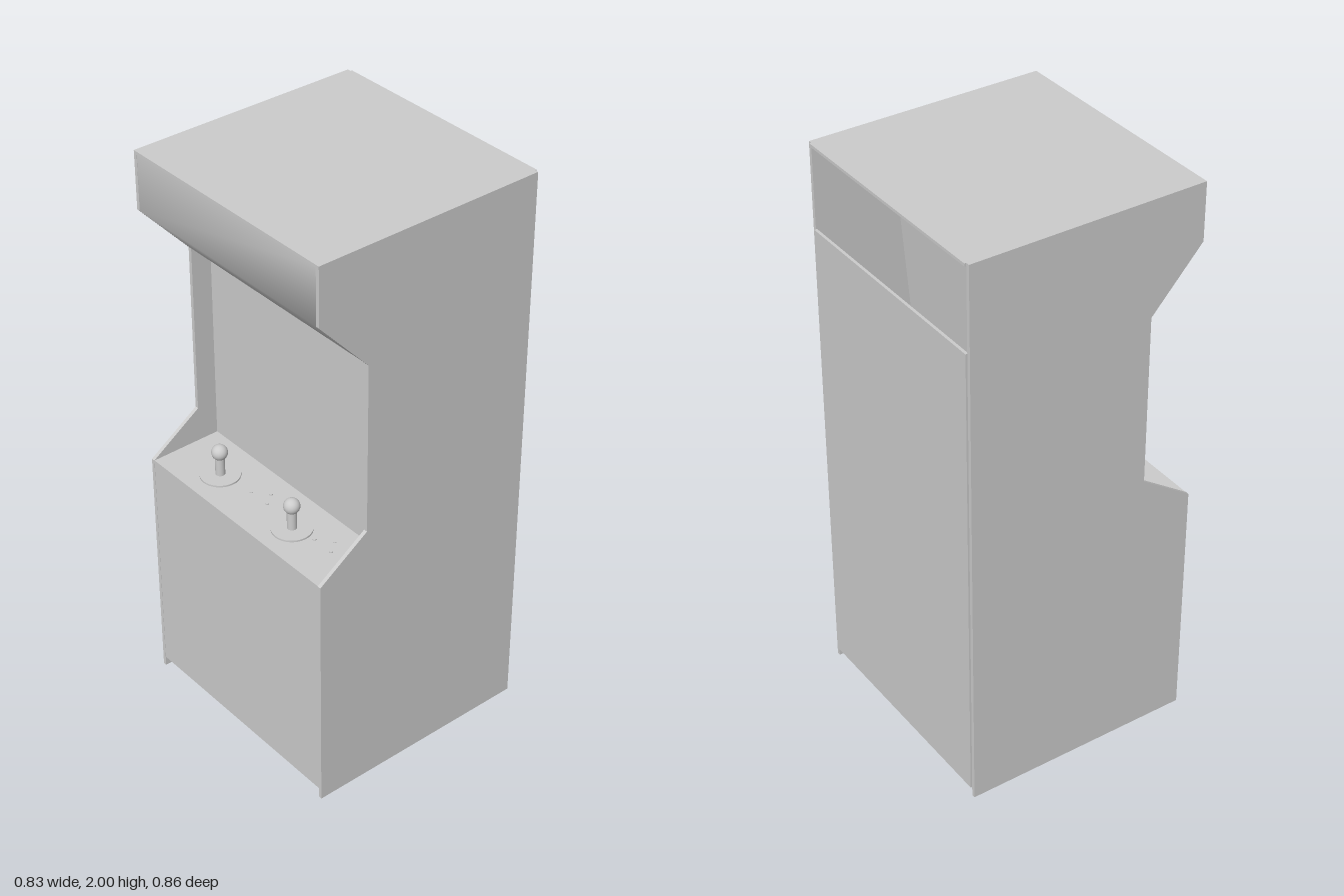
import * as THREE from 'three';

export function createModel() {
  const group = new THREE.Group();
  const mat = new THREE.MeshStandardMaterial({ color: 0xcccccc, side: THREE.DoubleSide });
  const W = 0.83; // inner width between the side panels

  function add(name, geometry, x = 0, y = 0, z = 0, parent = group) {
    const mesh = new THREE.Mesh(geometry, mat);
    mesh.name = name;
    mesh.position.set(x, y, z);
    parent.add(mesh);
    return mesh;
  }

  // Board filling the span between two corners, given in x and y
  function board(name, x0, x1, y0, y1, width = W) {
    add(name, new THREE.BoxGeometry(x1 - x0, y1 - y0, width), (x0 + x1) / 2, (y0 + y1) / 2, 0);
  }

  // Profile in x and y, extruded along z and centred
  function slab(points, depth) {
    const shape = new THREE.Shape(points.map(([x, y]) => new THREE.Vector2(x, y)));
    return new THREE.ExtrudeGeometry(shape, { depth, bevelEnabled: false }).translate(0, 0, -depth / 2);
  }

  // Side panels with the cut-out for screen and controls
  const sideProfile = [
    [-0.415, 0], [0.407, 0], [0.407, 2], [-0.415, 2],
    [-0.415, 1.8], [-0.233, 1.6], [-0.233, 1], [-0.415, 0.875],
  ];
  for (const s of [-1, 1]) {
    add(s > 0 ? 'leftSidePanel' : 'rightSidePanel', slab(sideProfile, 0.013), 0, 0, s * 0.4215);
  }

  // Cabinet boards
  board('topPanel', -0.415, 0.413, 1.99, 2);
  board('floorPanel', -0.413, 0.407, 0.036, 0.046);
  board('backPanel', 0.403, 0.413, 0.036, 1.705);
  board('lowerFrontPanel', -0.414, -0.404, 0.036, 0.875);
  board('controlPanel', -0.414, -0.16, 0.865, 0.875);

  // Screen with its housing leaning back inside the cabinet
  add('screenHousing', slab([[-0.16, 0.87], [0.04, 0.87], [0.113, 1.725], [-0.16, 1.725]], W));

  // Marquee: a smooth sheet bent from the front face into the sloped underside
  const marquee = new THREE.PlaneGeometry(1, 1, 1, 2);
  const bend = [[-0.414, 1.995], [-0.414, 1.8], [-0.234, 1.602]];
  const pos = marquee.attributes.position;
  for (let i = 0; i < pos.count; i++) {
    const [x, y] = bend[Math.floor(i / 2)];
    pos.setXYZ(i, x, y, (i % 2 ? 1 : -1) * W / 2);
  }
  marquee.computeVertexNormals();
  add('marquee', marquee);

  // Joysticks: base disc, shaft and ball, with small buttons beside each
  [-0.217, 0.148].forEach((z, i) => {
    const stick = new THREE.Group();
    stick.name = 'joystick' + (i + 1);
    stick.position.set(-0.298, 0.875, z);
    group.add(stick);
    add('joystickBase', new THREE.CylinderGeometry(0.067, 0.067, 0.006, 32), 0, 0.003, 0, stick);
    add('joystickShaft', new THREE.CylinderGeometry(0.016, 0.016, 0.08, 20), 0, 0.043, 0, stick);
    add('joystickBall', new THREE.SphereGeometry(0.027, 24, 16), 0, 0.09, 0, stick);
    for (const [x, dz] of [[0.06, 0.185], [0.02, 0.215], [0.02, 0.135]]) {
      add('button', new THREE.CylinderGeometry(0.006, 0.006, 0.003, 12), x, 0.0015, dz - 0.05 * i, stick);
    }
  });

  return group;
}
